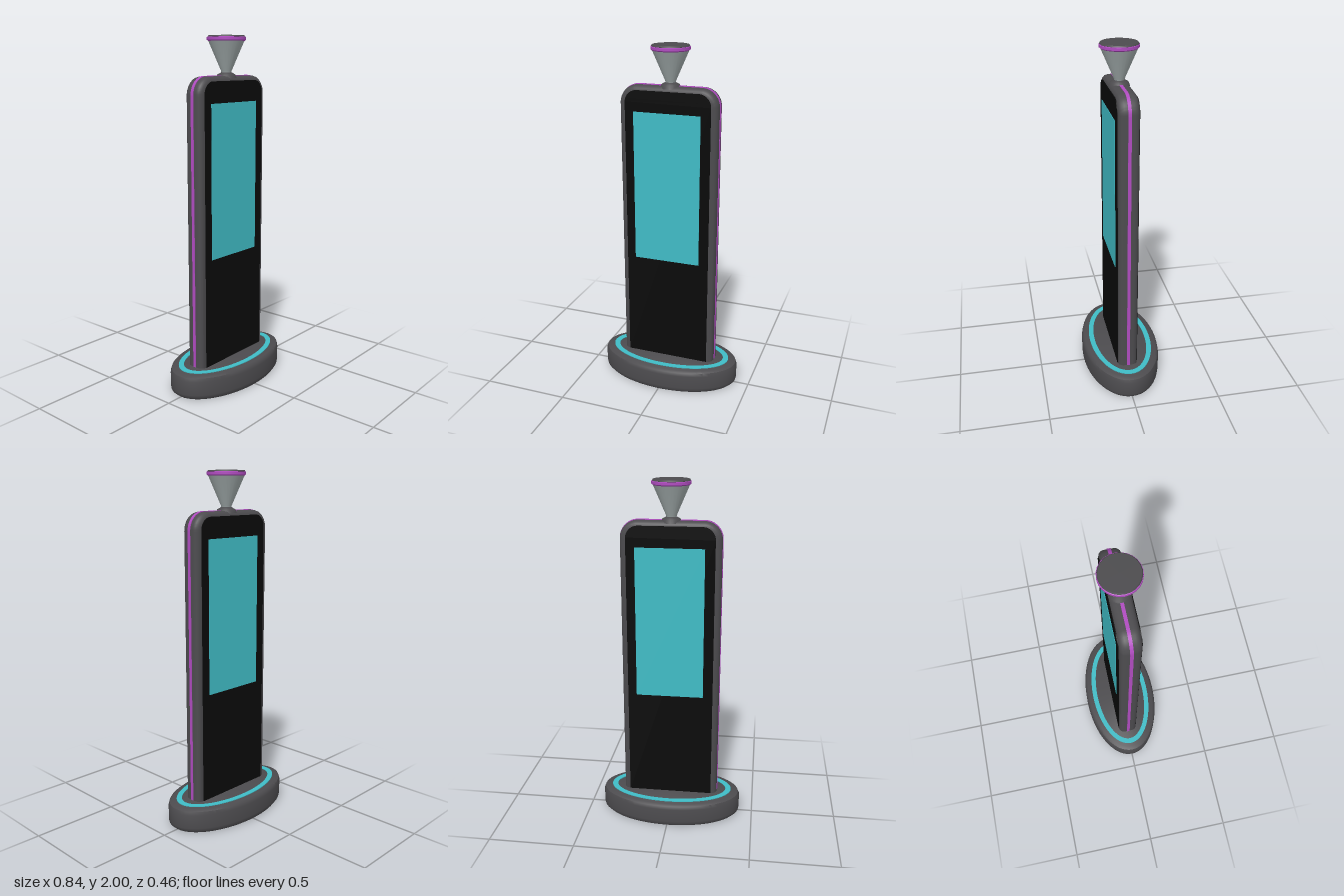
import * as THREE from 'three';
import { toCreasedNormals } from 'three/addons/utils/BufferGeometryUtils.js';

const material = (name, color) => new THREE.MeshStandardMaterial({ name, color });

// Upright panel outline with rounded top corners
function archShape(halfWidth, bottom, top, radius) {
  const s = new THREE.Shape();
  s.moveTo(-halfWidth, bottom);
  s.lineTo(halfWidth, bottom);
  s.lineTo(halfWidth, top - radius);
  s.absarc(halfWidth - radius, top - radius, radius, 0, Math.PI / 2);
  s.absarc(-halfWidth + radius, top - radius, radius, Math.PI / 2, Math.PI);
  s.lineTo(-halfWidth, bottom);
  return s;
}

// Extrusion centred on z = 0
function slab(shape, depth, bevel = 0) {
  const g = new THREE.ExtrudeGeometry(shape, {
    depth: depth - 2 * bevel, curveSegments: 10,
    bevelEnabled: bevel > 0, bevelThickness: bevel, bevelSize: bevel, bevelOffset: -bevel, bevelSegments: 3,
  });
  g.translate(0, 0, -depth / 2 + bevel);
  return toCreasedNormals(g, 0.6);
}

function lathe(points, segments) {
  return new THREE.LatheGeometry(points.map(([x, y]) => new THREE.Vector2(x, y)), segments);
}

export function createModel() {
  const charcoal = material('charcoal', 0x4c4b4e);
  const black = material('black', 0x0a0a0a);
  const teal = material('teal', 0x40bcc6);
  const purple = material('purple', 0xb04cc0);
  const silver = material('silver', 0xa3adad);

  const model = new THREE.Group();
  model.name = 'informationKiosk';
  const add = (name, geometry, mat, parent = model) => {
    const mesh = new THREE.Mesh(geometry, mat);
    mesh.name = name;
    parent.add(mesh);
    return mesh;
  };

  // Oval base with softened edges
  const base = lathe([[0, 0], [0.4, 0], [0.417, 0.015], [0.42, 0.03], [0.42, 0.11],
    [0.412, 0.13], [0.39, 0.14], [0, 0.14]], 64);
  base.scale(1, 1, 0.55);
  add('base', toCreasedNormals(base, 0.7), charcoal);

  // Light ring set into the top of the base
  const ring = new THREE.Shape().absellipse(0, 0, 0.368, 0.187, 0, Math.PI * 2);
  ring.holes.push(new THREE.Path().absellipse(0, 0, 0.335, 0.157, 0, Math.PI * 2, true));
  const ringGeometry = new THREE.ExtrudeGeometry(ring, { depth: 0.005, bevelEnabled: false, curveSegments: 64 });
  ringGeometry.rotateX(-Math.PI / 2);
  ringGeometry.translate(0, 0.139, 0);
  add('lightRing', ringGeometry, teal);

  // Rounded upright housing
  add('housing', slab(archShape(0.282, 0.1, 1.782, 0.1), 0.114, 0.03), charcoal);

  // Accent strip running around the housing edge
  add('edgeStrip', slab(archShape(0.285, 0.12, 1.785, 0.103), 0.018), purple);

  // Matching display on both faces
  for (const [side, turn] of [['front', 0], ['back', Math.PI]]) {
    const display = new THREE.Group();
    display.name = side + 'Display';
    display.rotation.y = turn;
    model.add(display);
    add('panel', slab(archShape(0.247, 0.135, 1.757, 0.07), 0.006), black, display).position.z = 0.057;
    add('screen', new THREE.BoxGeometry(0.388, 0.868, 0.004), teal, display).position.set(-0.003, 1.205, 0.0605);
  }

  // Flared beacon: neck, cone, rim and lid
  add('beaconNeck', lathe([[0.058, 1.77], [0.05, 1.79], [0.028, 1.802], [0, 1.802]], 24), charcoal);
  add('beaconCone', lathe([[0.026, 1.79], [0.03, 1.81], [0.102, 1.975]], 24), silver);
  add('beaconRim', toCreasedNormals(lathe([[0.1, 1.97], [0.108, 1.976], [0.108, 1.99], [0.1, 1.995]], 24), 0.5), purple);
  add('beaconLid', toCreasedNormals(lathe([[0.1, 1.985], [0.105, 1.993], [0.1, 2], [0, 2]], 24), 0.5), charcoal);

  return model;
}
